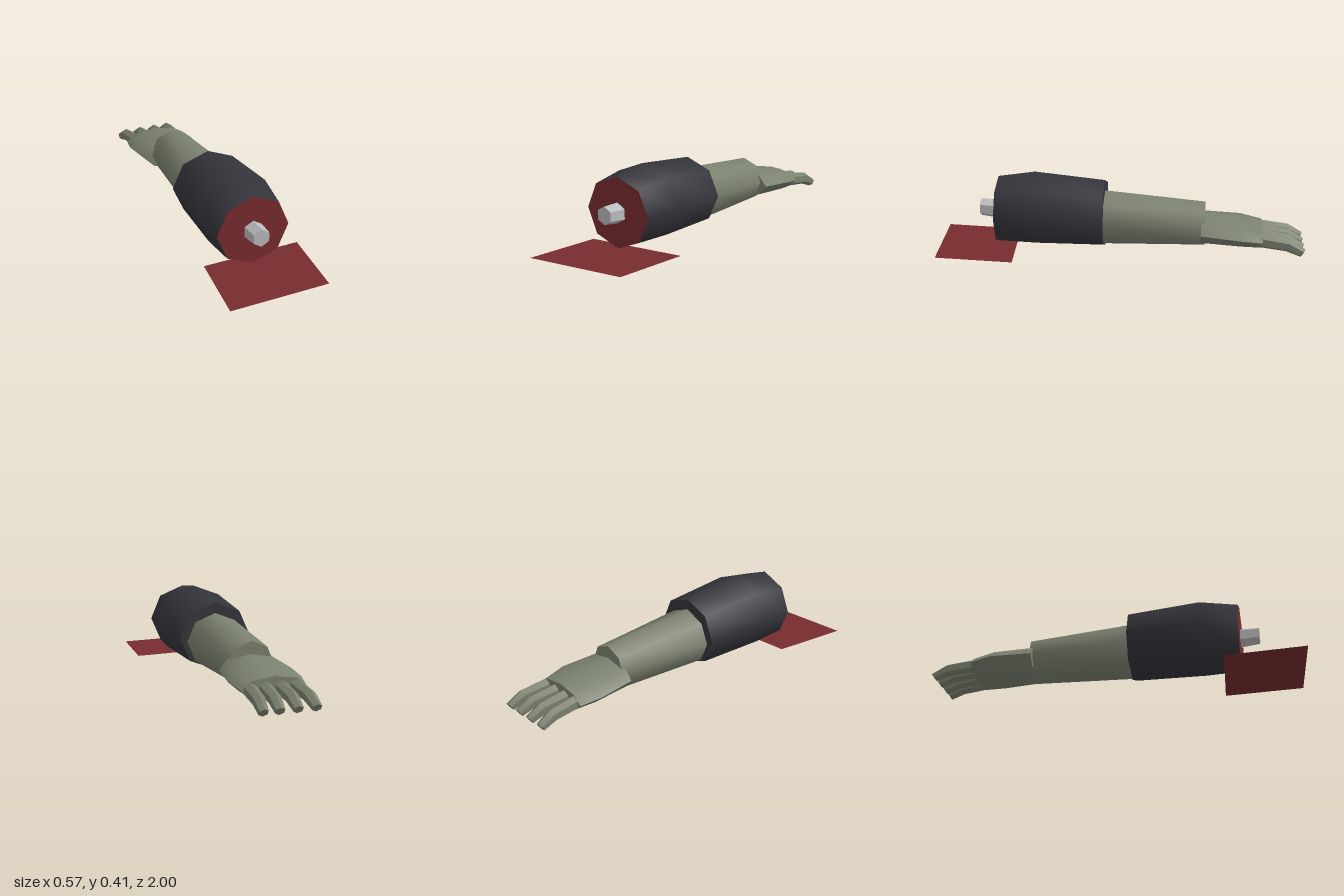
import * as THREE from 'three';
import { toCreasedNormals } from 'three/addons/utils/BufferGeometryUtils.js';

const CX = -0.02; // axis of the arm

// Joins elliptical rings [z, cx, cy, rx, ry, shear], listed from front to back
function loft(rings, sides, capFront = true, capBack = true) {
  const pos = [], index = [];
  for (const [z, cx, cy, rx, ry, shear = 0] of rings) {
    for (let i = 0; i < sides; i++) {
      const a = Math.PI / 2 + (i / sides) * Math.PI * 2;
      pos.push(cx + rx * Math.cos(a), cy + ry * Math.sin(a), z + shear * Math.sin(a));
    }
  }
  for (let r = 0; r < rings.length - 1; r++) {
    for (let i = 0; i < sides; i++) {
      const j = (i + 1) % sides;
      const a = r * sides + i, b = r * sides + j;
      index.push(a, a + sides, b, b, a + sides, b + sides);
    }
  }
  const last = (rings.length - 1) * sides;
  for (let i = 1; i < sides - 1; i++) {
    if (capFront) index.push(0, i, i + 1);
    if (capBack) index.push(last, last + i + 1, last + i);
  }
  const g = new THREE.BufferGeometry();
  g.setAttribute('position', new THREE.Float32BufferAttribute(pos, 3));
  g.setIndex(index);
  return toCreasedNormals(g, 0.9);
}

export function createModel() {
  const group = new THREE.Group();
  const material = (name, color, side = THREE.FrontSide) => {
    const m = new THREE.MeshStandardMaterial({ color, side });
    m.name = name;
    return m;
  };
  const skin = material('greenish skin', 0x7b816f);
  const cloth = material('dark cloth', 0x34343b);
  const red = material('dark red', 0x782c2e, THREE.DoubleSide);
  const boneGrey = material('bone grey', 0xb9babd);

  const add = (name, geometry, mat) => {
    const mesh = new THREE.Mesh(geometry, mat);
    mesh.name = name;
    group.add(mesh);
  };

  // Sleeve, open at the front where the stump closes it
  const cut = [0.65, CX, 0.195, 0.193, 0.185];
  add('sleeve', loft([
    cut,
    [0.45, CX, 0.206, 0.217, 0.204],
    [0.07, CX, 0.187, 0.2, 0.185],
  ], 8, false, true), cloth);

  // Stump face and protruding bone
  const stump = new THREE.CircleGeometry(1, 8);
  stump.scale(cut[3], cut[4], 1);
  stump.translate(CX, cut[2], cut[0]);
  add('stump', stump, red);
  add('bone', loft([
    [0.75, CX, 0.202, 0.047, 0.047],
    [0.64, CX, 0.194, 0.054, 0.054],
  ], 6), boneGrey);

  // Forearm and flattened hand
  add('forearm', loft([
    [0.08, CX, 0.163, 0.16, 0.152],
    [-0.47, CX, 0.143, 0.125, 0.123],
  ], 8), skin);
  add('hand', loft([
    [-0.45, CX, 0.125, 0.165, 0.075],
    [-0.66, CX, 0.113, 0.192, 0.068],
    [-0.775, CX, 0.097, 0.17, 0.058],
  ], 8), skin);

  // Four fingers bent down at the tips: [base x, tip x]
  const fingers = [[-0.135, -0.15], [-0.058, -0.056], [0.022, 0.036], [0.1, 0.118]];
  for (const [base, tip] of fingers) {
    const mid = base + (tip - base) * 0.65;
    add('finger', loft([
      [-0.74, base, 0.1, 0.037, 0.038],
      [-0.91, mid, 0.078, 0.033, 0.033, -0.01],
      [-0.986, tip, 0.041, 0.026, 0.021, -0.014],
    ], 6), skin);
  }

  // Pool on the ground
  const pool = new THREE.ShapeGeometry(new THREE.Shape([
    new THREE.Vector2(-0.29, -0.995),
    new THREE.Vector2(0.25, -0.955),
    new THREE.Vector2(0.285, -0.535),
    new THREE.Vector2(-0.25, -0.575),
  ]));
  pool.rotateX(-Math.PI / 2);
  add('pool', pool, red);

  return group;
}
